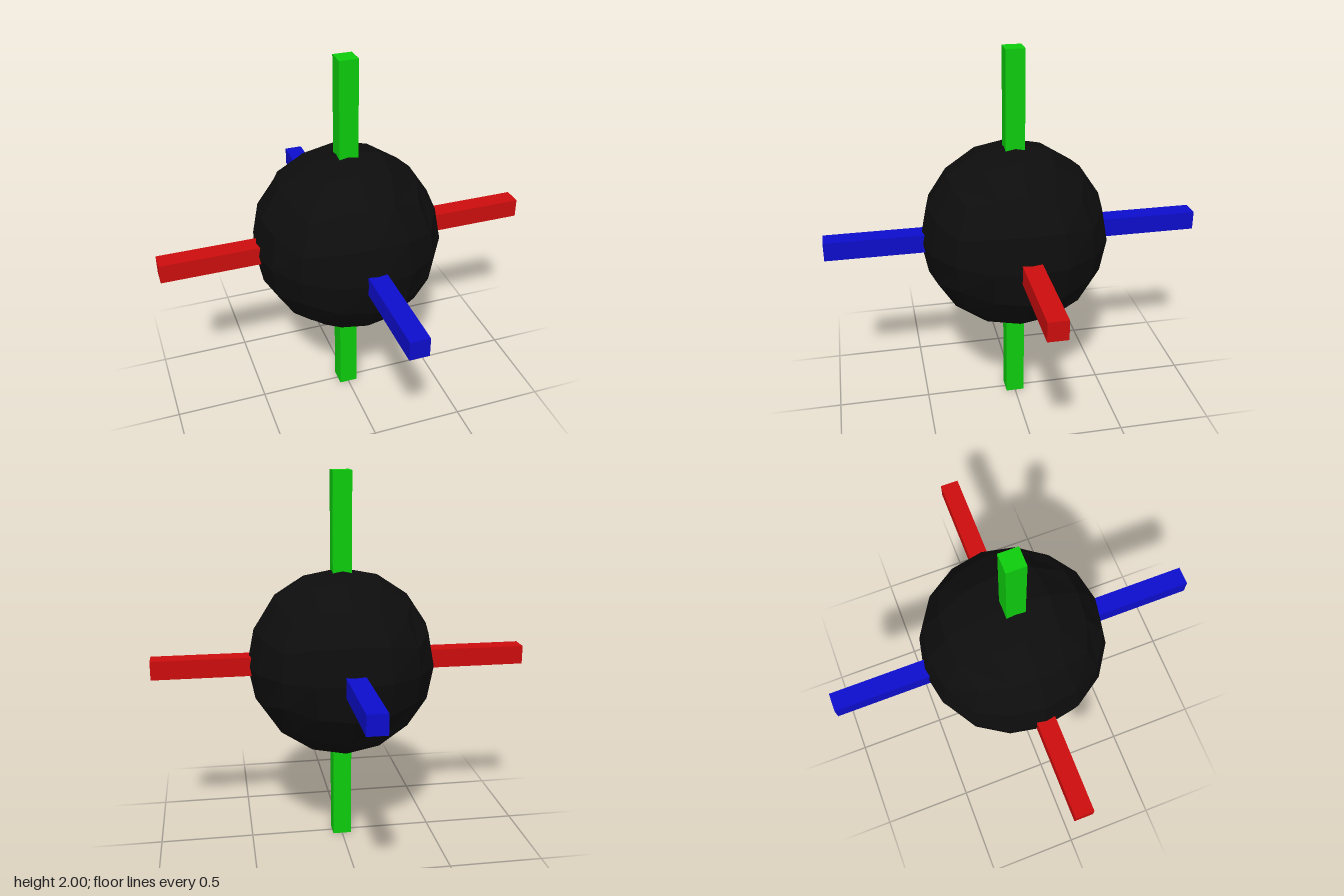
import * as THREE from 'three';

const material = (name, color, flatShading = false) => {
  const m = new THREE.MeshStandardMaterial({ color, flatShading });
  m.name = name;
  return m;
};

// Cube grid spread by equal angles onto a sphere
function cubeSphere(radius, divisions) {
  const geometry = new THREE.BoxGeometry(2, 2, 2, divisions, divisions, divisions);
  const pos = geometry.attributes.position;
  const p = new THREE.Vector3();
  const spread = (v) => Math.tan(v * Math.PI / 4);
  for (let i = 0; i < pos.count; i++) {
    p.fromBufferAttribute(pos, i);
    p.set(spread(p.x), spread(p.y), spread(p.z)).setLength(radius);
    pos.setXYZ(i, p.x, p.y, p.z);
  }
  const faceted = geometry.toNonIndexed();
  faceted.computeVertexNormals();
  return faceted;
}

export function createModel() {
  const model = new THREE.Group();
  model.name = 'axisBall';

  // Faceted core
  const ball = new THREE.Mesh(cubeSphere(0.5, 4), material('black', 0x0d0d0d, true));
  ball.name = 'ball';
  ball.position.y = 1;
  model.add(ball);

  // One square bar through the core along each axis
  const thick = 0.1;
  const bars = [
    ['sideBar', [2, thick, thick], material('red', 0xcc0d0d)],
    ['uprightBar', [thick, 2, thick], material('green', 0x0dcc0d)],
    ['frontBackBar', [thick, thick, 2], material('blue', 0x0d0dcc)],
  ];
  for (const [name, size, mat] of bars) {
    const bar = new THREE.Mesh(new THREE.BoxGeometry(...size), mat);
    bar.name = name;
    bar.position.y = 1;
    model.add(bar);
  }
  return model;
}
